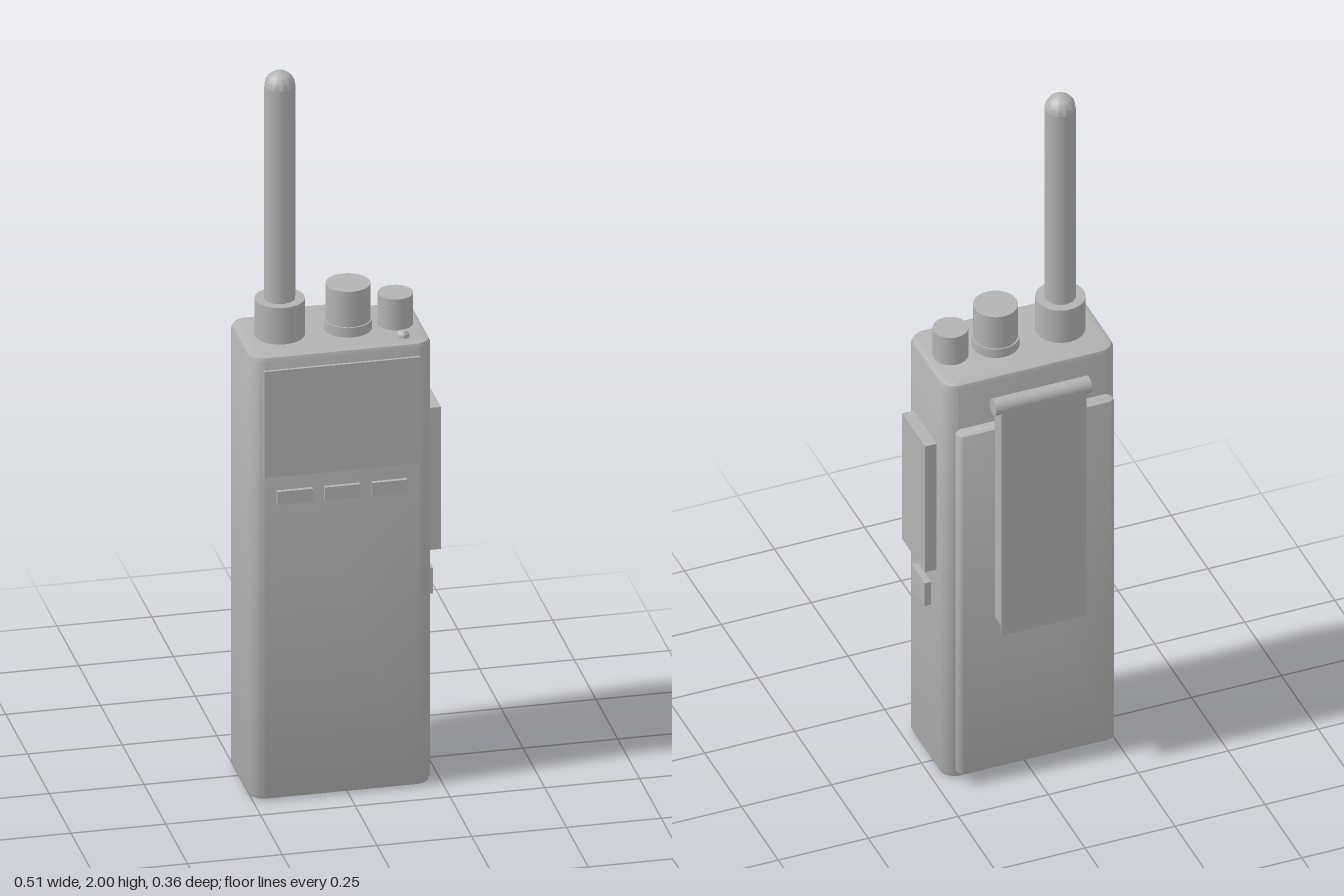
import * as THREE from 'three';
import { toCreasedNormals } from 'three/addons/utils/BufferGeometryUtils.js';

const grey = new THREE.MeshStandardMaterial({ color: 0xb3b3b3 });
grey.name = 'grey plastic';

// Upright block with rounded vertical corners and a bevel at both ends
function roundedBlock([x0, x1], [y0, y1], [z0, z1], radius, bevel) {
  const w = (x1 - x0) / 2 - bevel, d = (z1 - z0) / 2 - bevel, r = radius - bevel;
  const s = new THREE.Shape();
  s.absarc(w - r, d - r, r, 0, Math.PI / 2);
  s.absarc(r - w, d - r, r, Math.PI / 2, Math.PI);
  s.absarc(r - w, r - d, r, Math.PI, Math.PI * 1.5);
  s.absarc(w - r, r - d, r, Math.PI * 1.5, Math.PI * 2);
  const g = new THREE.ExtrudeGeometry(s, {
    depth: y1 - y0 - 2 * bevel, bevelEnabled: true, bevelSize: bevel,
    bevelThickness: bevel, bevelSegments: 2, curveSegments: 6,
  });
  g.rotateX(-Math.PI / 2);
  g.translate((x0 + x1) / 2, y0 + bevel, (z0 + z1) / 2);
  return toCreasedNormals(g, 0.6);
}

function box([x0, x1], [y0, y1], [z0, z1]) {
  return new THREE.BoxGeometry(x1 - x0, y1 - y0, z1 - z0)
    .translate((x0 + x1) / 2, (y0 + y1) / 2, (z0 + z1) / 2);
}

function post(x, z, r, y0, y1, sides = 32) {
  return new THREE.CylinderGeometry(r, r, y1 - y0, sides).translate(x, (y0 + y1) / 2, z);
}

function dome(x, y, z, r, sides, rings) {
  return toCreasedNormals(
    new THREE.SphereGeometry(r, sides, rings, 0, Math.PI * 2, 0, Math.PI / 2).translate(x, y, z), 0.5);
}

export function createModel() {
  const radio = new THREE.Group();
  radio.name = 'handheldRadio';
  const add = (name, geometry) => {
    const m = new THREE.Mesh(geometry, grey);
    m.name = name;
    radio.add(m);
  };

  // Case and battery pack
  add('body', roundedBlock([-0.257, 0.225], [0, 1.255], [-0.097, 0.168], 0.045, 0.015));
  add('batteryPack', roundedBlock([-0.235, 0.202], [0.035, 1.118], [-0.137, -0.096], 0.0204, 0.008));

  // Belt clip
  add('clipSpacer', box([-0.133, 0.102], [0.52, 1.19], [-0.177, -0.136]));
  add('clipPlate', box([-0.133, 0.102], [0.49, 1.21], [-0.183, -0.177]));
  add('clipHinge', new THREE.CylinderGeometry(0.023, 0.023, 0.267, 20)
    .rotateZ(Math.PI / 2).translate(-0.0165, 1.209, -0.16));

  // Antenna
  add('antennaBase', post(-0.15, 0.035, 0.065, 1.25, 1.358));
  add('antennaRod', post(-0.15, 0.035, 0.041, 1.35, 1.959, 12));
  add('antennaTip', dome(-0.15, 1.959, 0.035, 0.041, 12, 4));

  // Knobs and indicator light
  add('volumeCollar', post(0.03, 0.035, 0.062, 1.25, 1.282));
  add('volumeKnob', post(0.03, 0.035, 0.058, 1.28, 1.382));
  add('channelKnob', post(0.155, 0.035, 0.046, 1.25, 1.342));
  add('indicatorLight', dome(0.155, 1.255, 0.12, 0.018, 8, 3));

  // Front panel and its row of buttons
  add('frontPanel', box([-0.223, 0.19], [0.917, 1.218], [0.16, 0.176]));
  for (const x of [-0.142, -0.017, 0.108])
    add('frontButton', box([x - 0.047, x + 0.047], [0.839, 0.876], [0.16, 0.179]));

  // Side controls
  add('talkButton', box([0.215, 0.257], [0.64, 1.042], [-0.042, 0.114]));
  add('sideButton', box([0.215, 0.243], [0.503, 0.575], [-0.005, 0.086]));

  return radio;
}
